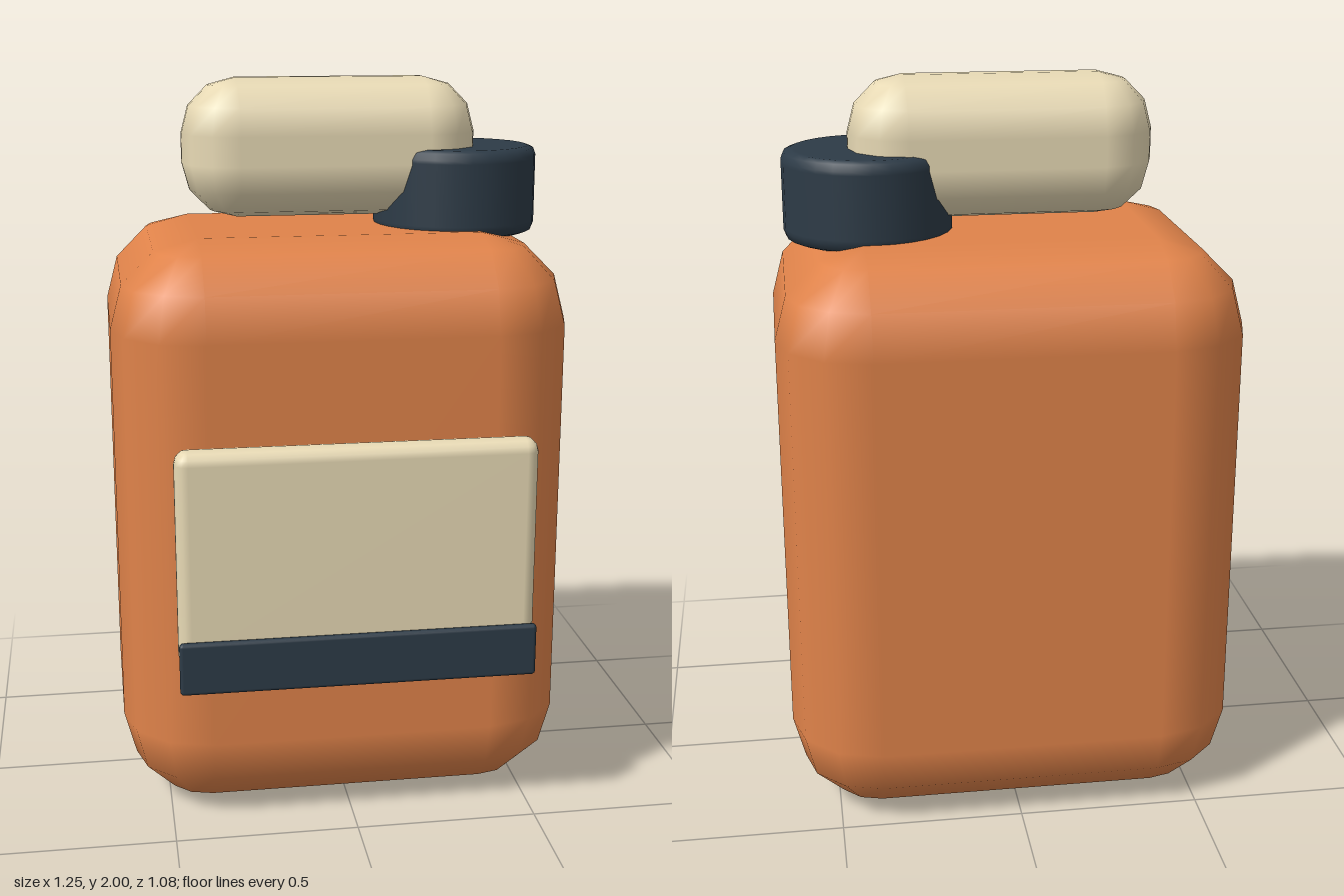
import * as THREE from 'three';

const paint = (color) => {
  const m = new THREE.MeshStandardMaterial();
  m.color.set(color);
  return m;
};

// Box whose corners are sphere octants: rings of latitude around four corner centres
function softBox(x0, x1, y0, y1, z0, z1, r, steps = 3) {
  const size = [x1 - x0, y1 - y0, z1 - z0];
  const half = size.map((s) => s / 2 - r);
  const position = [], normal = [], index = [];
  const n = 4 * (steps + 1), rows = 2 * (steps + 1);
  for (let i = 0; i < rows; i++) {
    const upper = i > steps;
    const lat = ((upper ? i - 1 : i) / steps - 1) * Math.PI / 2;
    for (let j = 0; j < n; j++) {
      const q = Math.floor(j / (steps + 1));
      const lon = (q + (j % (steps + 1)) / steps) * Math.PI / 2;
      const d = [Math.cos(lat) * Math.cos(lon), Math.sin(lat), Math.cos(lat) * Math.sin(lon)];
      const side = [q === 0 || q === 3 ? 1 : -1, upper ? 1 : -1, q < 2 ? 1 : -1];
      position.push(...d.map((v, k) => v * r + side[k] * half[k]));
      normal.push(...d);
      if (i < rows - 1) {
        const a = i * n + j, b = i * n + (j + 1) % n;
        index.push(a, a + n, b, b, a + n, b + n);
      }
    }
  }
  // flat bottom and top
  const c = [0, 1, 2, 3].map((q) => q * (steps + 1));
  const t = c.map((v) => v + (rows - 1) * n);
  index.push(c[0], c[1], c[2], c[0], c[2], c[3]);
  index.push(t[0], t[2], t[1], t[0], t[3], t[2]);
  const g = new THREE.BufferGeometry();
  g.setAttribute('position', new THREE.Float32BufferAttribute(position, 3));
  g.setAttribute('normal', new THREE.Float32BufferAttribute(normal, 3));
  g.setIndex(index);
  return g.translate((x0 + x1) / 2, (y0 + y1) / 2, (z0 + z1) / 2);
}

export function createModel() {
  const group = new THREE.Group();
  const orange = paint(0xe0834a), cream = paint(0xe8dab5), navy = paint(0x2d3b47);
  const add = (name, geometry, material) => {
    const mesh = new THREE.Mesh(geometry, material);
    mesh.name = name;
    group.add(mesh);
  };

  add('body', softBox(-0.625, 0.625, 0, 1.595, -0.54, 0.425, 0.24), orange);
  add('handle', softBox(-0.41, 0.41, 1.62, 2, -0.225, 0.11, 0.15), cream);
  add('labelPanel', softBox(-0.48, 0.48, 0.5, 1.095, 0.432, 0.517, 0.035), cream);
  add('labelStripe', softBox(-0.48, 0.48, 0.44, 0.585, 0.512, 0.535, 0.01), navy);

  // Screw cap with rounded rims
  const R = 0.228, h = 0.12, b = 0.025;
  const lower = [[0, -h], [R - b - 0.01, -h], [R - b, -h], [R - 0.007, -h + 0.007], [R, -h + b], [R, -h + b + 0.01]];
  const upper = lower.map(([x, y]) => [x, -y]).reverse();
  const profile = [...lower, ...upper].map(([x, y]) => new THREE.Vector2(x, y));
  add('cap', new THREE.LatheGeometry(profile, 28).translate(0.36, 1.69, -0.057), navy);

  return group;
}
